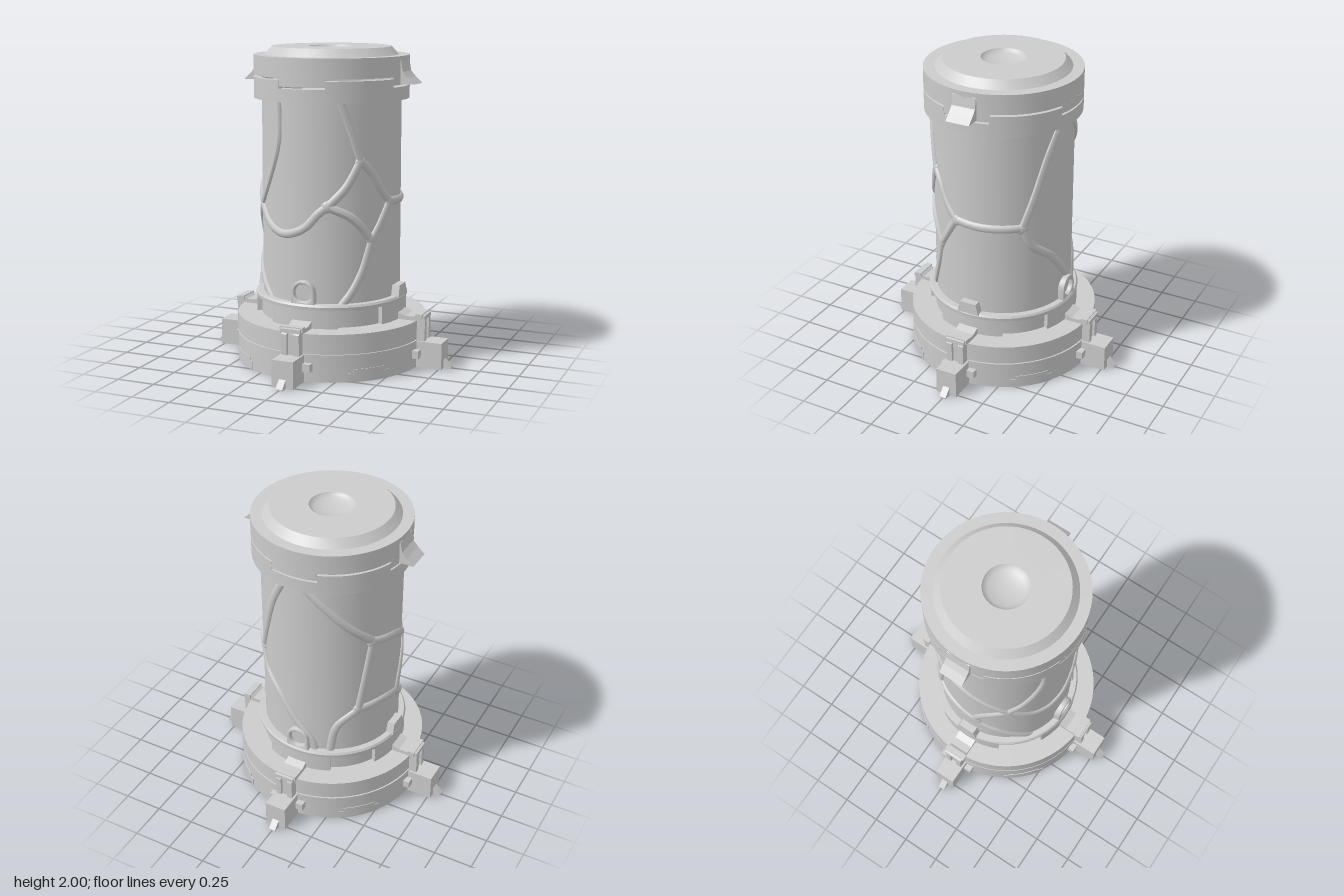
import * as THREE from 'three';
import { toCreasedNormals } from 'three/addons/utils/BufferGeometryUtils.js';

const mat = new THREE.MeshStandardMaterial({ color: 0xcccccc, side: THREE.DoubleSide });
const RAD = Math.PI / 180;
const R = 0.44; // tube radius

function add(parent, name, geo, x = 0, y = 0, z = 0) {
  const m = new THREE.Mesh(geo, mat);
  m.name = name;
  m.position.set(x, y, z);
  parent.add(m);
  return m;
}
const box = (parent, name, w, h, d, x, y, z) => add(parent, name, new THREE.BoxGeometry(w, h, d), x, y, z);
const lathe = (pts) => toCreasedNormals(
  new THREE.LatheGeometry(pts.map(([r, y]) => new THREE.Vector2(r, y)), 64), 0.5);

// Curved block between two radii, centred on an angle (degrees from the front)
function sector(r0, r1, y0, y1, centre, half) {
  const a = (90 - centre - half) * RAD, b = (90 - centre + half) * RAD;
  const s = new THREE.Shape();
  s.absarc(0, 0, r1, -a, -b, true);
  s.absarc(0, 0, r0, -b, -a, false);
  const g = new THREE.ExtrudeGeometry(s, { depth: y1 - y0, bevelEnabled: false, curveSegments: 14 });
  g.rotateX(-Math.PI / 2);
  g.translate(0, y0, 0);
  return toCreasedNormals(g, 0.5);
}

// Side outline in (z, y), extruded to a width centred on x
function sideProfile(pts, width) {
  const s = new THREE.Shape(pts.map(([z, y]) => new THREE.Vector2(-z, y)));
  const g = new THREE.ExtrudeGeometry(s, { depth: width, bevelEnabled: false });
  g.translate(0, 0, -width / 2);
  g.rotateY(Math.PI / 2);
  return g;
}

// Squash a geometry towards the tube wall
function flatten(g, k) {
  const p = g.attributes.position;
  for (let i = 0; i < p.count; i++) {
    const x = p.getX(i), z = p.getZ(i), r = Math.hypot(x, z);
    const f = (R + (r - R) * k) / r;
    p.setXYZ(i, x * f, p.getY(i), z * f);
  }
  g.computeVertexNormals();
  return g;
}
const onTube = ([deg, y]) => new THREE.Vector3(Math.sin(deg * RAD) * R, y, Math.cos(deg * RAD) * R);

// One hold-down clamp, facing +z
function clamp() {
  const g = new THREE.Group();
  g.name = 'clamp';
  box(g, 'clampBlock', 0.14, 0.17, 0.165, 0, 0.085, 0.6875);
  add(g, 'clampNub', sideProfile([[0.76, 0], [0.82, 0], [0.82, 0.008], [0.77, 0.055], [0.76, 0.055]], 0.045));
  for (const s of [-1, 1]) {
    box(g, 'clampEar', 0.05, 0.05, 0.05, s * 0.095, 0.095, 0.61);
    add(g, 'clampProng', sideProfile([[0.6, 0.17], [0.655, 0.17], [0.655, 0.3], [0.635, 0.33], [0.6, 0.33]], 0.035), s * 0.04);
  }
  box(g, 'clampPin', 0.04, 0.13, 0.035, 0, 0.235, 0.622);
  add(g, 'clampHook', sideProfile([[0.48, 0.3], [0.62, 0.3], [0.655, 0.31], [0.655, 0.335], [0.61, 0.345],
    [0.58, 0.325], [0.53, 0.325], [0.48, 0.345]], 0.13));
  box(g, 'clampLip', 0.15, 0.03, 0.04, 0, 0.33, 0.62);
  return g;
}

export function createModel() {
  const model = new THREE.Group();

  // Hollow base with a groove around its middle
  add(model, 'base', lathe([[0.59, 0], [0.605, 0], [0.605, 0.172], [0.595, 0.172], [0.595, 0.186],
    [0.605, 0.186], [0.605, 0.3], [0.44, 0.3]]));
  add(model, 'baseInside', lathe([[0, 0.285], [0.59, 0.285], [0.59, 0]]));

  // Collar: recessed core, four wall blocks, rounded rim
  add(model, 'collarCore', lathe([[0.45, 0.3], [0.45, 0.42]]));
  add(model, 'collarRim', lathe([[0.45, 0.41], [0.485, 0.415], [0.487, 0.435], [0.478, 0.448], [0.43, 0.448]]));

  // Main tube
  add(model, 'tube', lathe([[R, 0.3], [R, 1.7], [0, 1.7]]));

  // Lower cap ring and upper cap, split by a stepped slit
  add(model, 'capRing', lathe([[0.43, 1.682], [0.49, 1.682], [0.49, 1.764], [0.43, 1.764], [0.43, 1.682]]));
  add(model, 'cap', lathe([[0.45, 1.826], [0.49, 1.826], [0.49, 1.95], [0.42, 1.95], [0.375, 2], [0.14, 2],
    [0.132, 1.988], [0.11, 1.976], [0.06, 1.965], [0, 1.962]]));
  add(model, 'capInside', lathe([[0, 1.9], [0.45, 1.9], [0.45, 1.826]]));

  for (let i = 0; i < 4; i++) {
    const a = i * 90;
    add(model, 'collarWall', sector(0.44, 0.482, 0.3, 0.42, a, 27));
    add(model, 'capTab', sector(0.45, 0.49, 1.776, 1.83, a, 17.8));
    add(model, 'capRingStep', sector(0.45, 0.49, 1.76, 1.814, a + 45, 27));
    add(model, 'basePlate', sector(0.6, 0.609, 0, 0.055, a + 45, 13));
    add(model, 'basePlateTop', sector(0.6, 0.609, 0.055, 0.08, a + 45, 10));
    const c = clamp();
    c.rotation.y = a * RAD;
    model.add(c);
  }

  for (const s of [0, 1]) {
    // Round portholes at front and back
    const port = new THREE.Group();
    port.name = 'porthole';
    const ring = new THREE.Shape();
    ring.absarc(0, 0, 0.077, 0, Math.PI, false);
    ring.lineTo(-0.077, -0.07);
    ring.lineTo(0.077, -0.07);
    const hole = new THREE.Path();
    hole.absarc(0, 0, 0.056, 0, Math.PI * 2, true);
    ring.holes.push(hole);
    const rg = new THREE.ExtrudeGeometry(ring, { depth: 0.04, curveSegments: 20, bevelSize: 0.006, bevelOffset: -0.006, bevelThickness: 0.008, bevelSegments: 2 });
    add(port, 'portholeFrame', toCreasedNormals(rg, 0.6), 0, 0.515, 0.427);
    add(port, 'portholeGlass', new THREE.CircleGeometry(0.057, 32), 0, 0.515, 0.445);
    port.rotation.y = s * Math.PI;
    model.add(port);

    // Side tabs on the collar and swept horns on the cap
    const side = new THREE.Group();
    side.name = 'sideFittings';
    const tab = new THREE.Shape([[-0.075, 0], [0.075, 0], [0.055, 0.075], [-0.055, 0.075]].map(([x, y]) => new THREE.Vector2(x, y)));
    add(side, 'sideTab', new THREE.ExtrudeGeometry(tab, { depth: 0.05, bevelEnabled: false }), 0, 0.44, 0.435);
    add(side, 'capHorn', sideProfile([[0.47, 1.78], [0.575, 1.78], [0.53, 1.82], [0.5, 1.855], [0.488, 1.92], [0.47, 1.93]], 0.155));
    side.rotation.y = (0.5 + s) * Math.PI;
    model.add(side);
  }

  // Branching veins on the tube: [degrees from the front, height]
  const veins = [
    [[-55, 1.02], [-35, 0.9], [-18, 0.868], [0, 0.915], [12, 1.01], [20, 1.06], [34, 1.17], [46, 1.33]],
    [[29, 1.69], [37, 1.53], [46, 1.33]],
    [[46, 1.33], [55, 1.26], [66, 1.14], [76, 1.06]],
    [[76, 1.06], [95, 1.05], [115, 1.048], [133, 1.05]],
    [[133, 1.05], [143, 1.25], [155, 1.5], [168, 1.69]],
    [[133, 1.05], [141, 0.92], [160, 0.8], [175, 0.66], [190, 0.52], [194, 0.43]],
    [[76, 1.06], [65, 0.93], [56, 0.83]],
    [[20, 1.05], [37, 0.99], [47, 0.92], [56, 0.83]],
    [[56, 0.83], [48, 0.65], [39, 0.52], [30, 0.43]],
    [[-25, 1.69], [-26, 1.42], [-40, 1.17], [-55, 1.02]],
    [[-55, 1.02], [-73, 0.89], [-83, 0.72], [-62, 0.6], [-35, 0.43]],
    [[185, 1.69], [215, 1.45], [242, 1.26]],
    [[242, 1.26], [270, 1.2], [292, 1.1], [305, 1.02]],
    [[242, 1.26], [237, 1.05], [230, 0.76]],
    [[230, 0.76], [255, 0.76], [277, 0.72]],
    [[230, 0.76], [212, 0.64], [206, 0.43]],
  ];
  for (const v of veins) {
    const curve = new THREE.CatmullRomCurve3(v.map(onTube));
    // keep the path on the wall between its points
    const path = new THREE.CatmullRomCurve3(curve.getPoints(24).map((p) => {
      const f = R / Math.hypot(p.x, p.z);
      return new THREE.Vector3(p.x * f, p.y, p.z * f);
    }));
    add(model, 'vein', flatten(new THREE.TubeGeometry(path, 48, 0.027, 10), 0.65));
  }
  for (const j of [[46, 1.32], [76, 1.055], [133, 1.045], [56, 0.84], [-55, 1.01], [242, 1.25], [230, 0.76], [277, 0.72], [19, 1.05]]) {
    const p = onTube(j);
    add(model, 'veinJoint', flatten(new THREE.SphereGeometry(0.038, 16, 12).translate(p.x, p.y, p.z), 0.5));
  }
  return model;
}
